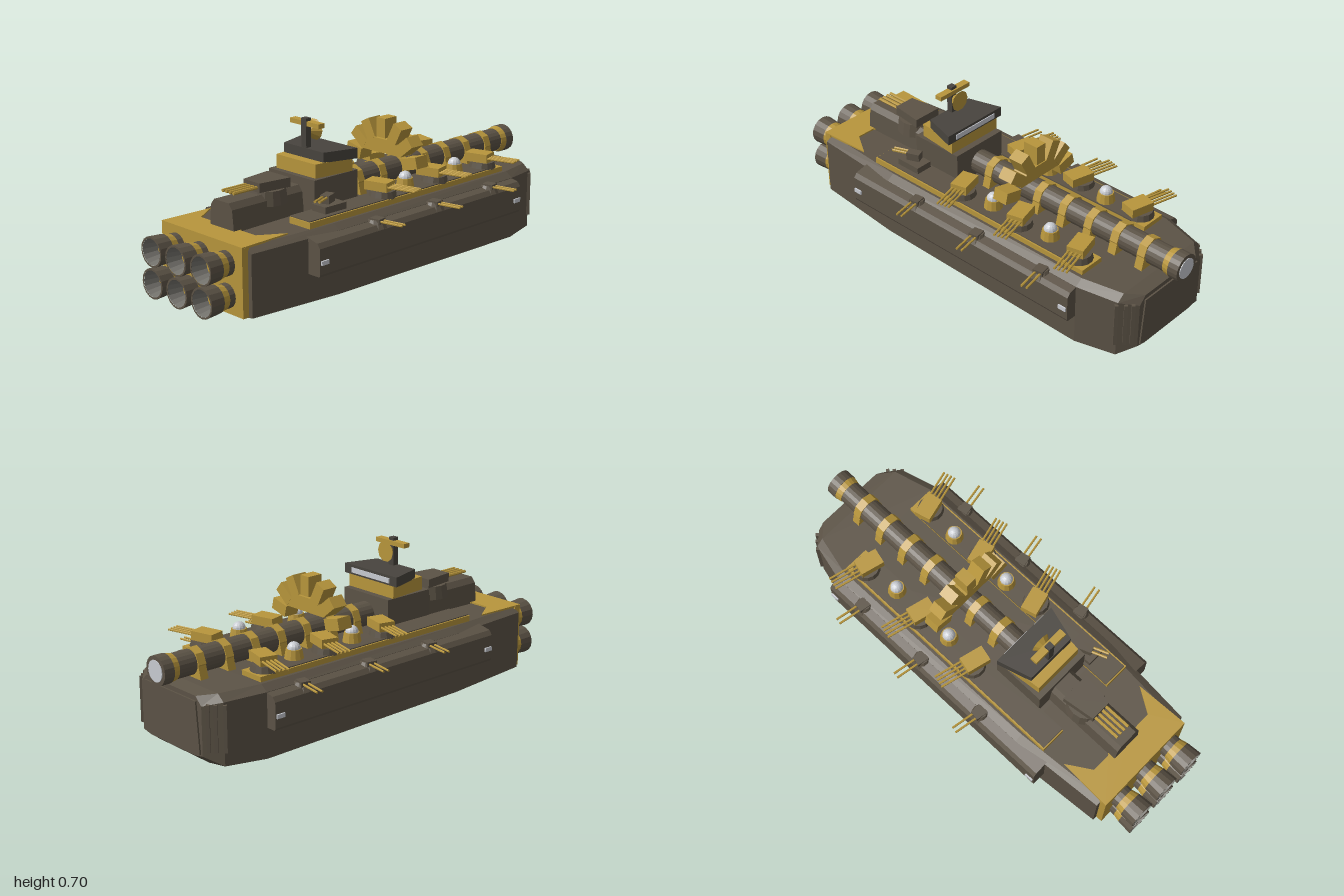
import * as THREE from 'three';

const mat = (name, color) => Object.assign(new THREE.MeshStandardMaterial({ color, flatShading: true }), { name });

export function createModel() {
  const hullM = mat('hullBrown', 0x5c5346), goldM = mat('gold', 0xb8963c), paleM = mat('paleGlass', 0xc9ccd2);
  const darkM = mat('darkSteel', 0x48443e), greyM = mat('nozzleGrey', 0x77756f);
  greyM.side = THREE.DoubleSide;
  const ship = new THREE.Group();
  ship.name = 'battleship';

  const add = (name, geo, m, x = 0, y = 0, z = 0, parent = ship) => {
    const mesh = new THREE.Mesh(geo, m);
    mesh.name = name;
    mesh.position.set(x, y, z);
    parent.add(mesh);
    return mesh;
  };
  const group = (name, x, y, z) => {
    const g = new THREE.Group();
    g.name = name;
    g.position.set(x, y, z);
    ship.add(g);
    return g;
  };
  const box = (w, h, d) => new THREE.BoxGeometry(w, h, d);
  // box given by its limits
  const block = (name, m, x0, x1, y0, y1, z0, z1) =>
    add(name, box(x1 - x0, y1 - y0, z1 - z0), m, (x0 + x1) / 2, (y0 + y1) / 2, (z0 + z1) / 2);
  // cylinder lying along x; r1 is the +x end
  const cylX = (r0, r1, len, n = 16, open = false) =>
    new THREE.CylinderGeometry(r1, r0, len, n, 1, open).rotateZ(-Math.PI / 2);
  const cylZ = (r, len, n = 6) => new THREE.CylinderGeometry(r, r, len, n).rotateX(Math.PI / 2);
  // (z, y) profile extruded along x
  const alongX = (pts, x0, x1) => {
    const shape = new THREE.Shape(pts.map(([z, y]) => new THREE.Vector2(-z, y)));
    return new THREE.ExtrudeGeometry(shape, { depth: x1 - x0, bevelEnabled: false }).rotateY(Math.PI / 2).translate(x0, 0, 0);
  };
  // (x, z) outline extruded upward
  const plan = (pts, y0, y1) => {
    const shape = new THREE.Shape(pts.map(([x, z]) => new THREE.Vector2(x, -z)));
    return new THREE.ExtrudeGeometry(shape, { depth: y1 - y0, bevelEnabled: false }).rotateX(-Math.PI / 2).translate(0, y0, 0);
  };
  // lofts eight-sided sections: [x, half width, keel half width, keel y, chine y, shoulder y, deck y]
  const loft = (sections) => {
    const rings = sections.map(([x, w, k, yk, yc, ys, yd]) => {
      const half = [[k, yk], [w, yc], [w, ys], [w - 0.035, yd]];
      return [...half, ...half.map(([z, y]) => [-z, y]).reverse()].map(([z, y]) => [x, y, z]);
    });
    const p = [], n = 8;
    for (let i = 0; i < rings.length - 1; i++) {
      for (let j = 0; j < n; j++) {
        const a = rings[i][j], b = rings[i][(j + 1) % n], c = rings[i + 1][(j + 1) % n], d = rings[i + 1][j];
        p.push(...a, ...d, ...c, ...a, ...c, ...b);
      }
    }
    const last = rings[rings.length - 1];
    for (let j = 1; j < n - 1; j++) {
      p.push(...rings[0][0], ...rings[0][j], ...rings[0][j + 1]);
      p.push(...last[0], ...last[j + 1], ...last[j]);
    }
    const g = new THREE.BufferGeometry();
    g.setAttribute('position', new THREE.Float32BufferAttribute(p, 3));
    g.computeVertexNormals();
    return g;
  };

  // hull
  add('hull', loft([
    [-0.84, 0.27, 0.19, 0.02, 0.03, 0.295, 0.315],
    [-0.4, 0.305, 0.18, 0.013, 0.026, 0.3, 0.322],
    [0.69, 0.31, 0.16, 0, 0.018, 0.3, 0.325],
    [0.87, 0.265, 0.16, 0.005, 0.022, 0.29, 0.318],
    [0.93, 0.2, 0.15, 0.05, 0.06, 0.27, 0.305],
  ]), hullM);
  add('bowPlate', alongX([[0.19, 0.065], [0.17, 0.285], [-0.17, 0.285], [-0.19, 0.065]], 0.925, 0.937), hullM);

  // gold stern and its deck cladding
  block('sternPlate', goldM, -0.87, -0.835, 0.03, 0.32, -0.25, 0.25);
  const claddingHalf = [[-0.87, 0.25], [-0.62, 0.24], [-0.73, 0.17], [-0.73, 0.08], [-0.69, 0.05]];
  add('sternDeck', plan([...claddingHalf, ...claddingHalf.map(([x, z]) => [x, -z]).reverse()], 0.315, 0.324), goldM);

  // six engines
  for (const z of [-0.155, 0, 0.155]) for (const y of [0.105, 0.24]) {
    const e = group('engine', 0, y, z);
    add('engineNeck', cylX(0.052, 0.052, 0.05), hullM, -0.885, 0, 0, e);
    add('engineCollar', cylX(0.06, 0.052, 0.035), goldM, -0.915, 0, 0, e);
    add('nozzle', cylX(0.065, 0.06, 0.068, 16, true), hullM, -0.966, 0, 0, e);
    add('nozzleLining', cylX(0.057, 0.045, 0.066, 16, true), greyM, -0.966, 0, 0, e);
    add('nozzleRim', new THREE.RingGeometry(0.057, 0.065, 16).rotateY(-Math.PI / 2), hullM, -1, 0, 0, e);
  }

  for (const s of [1, -1]) {
    const turn = (a) => (s > 0 ? a : Math.PI - a);

    // side sponson with lamps
    add('sponson', alongX([[0.28, 0.15], [0.355, 0.15], [0.36, 0.16], [0.36, 0.27], [0.345, 0.29], [0.28, 0.305]]
      .map(([z, y]) => [z * s, y]), -0.56, 0.69), hullM);
    for (const x of [-0.535, 0.665]) add('sponsonLamp', box(0.04, 0.018, 0.008), paleM, x, 0.21, s * 0.363);

    // bow ribs
    for (const [x, z] of [[0.865, 0.268], [0.893, 0.243], [0.915, 0.222]]) {
      const rib = add('bowRib', box(0.014, 0.2, 0.018), hullM, x, 0.18, s * z);
      rib.rotation.y = s * 0.8;
    }

    // gun deck: gold slab with a dark floor
    block('gunDeckRim', goldM, -0.52, 0.68, 0.315, 0.347, s * 0.2 - 0.06, s * 0.2 + 0.06);
    block('gunDeckFloor', hullM, -0.515, 0.61, 0.345, 0.351, s * 0.195 - 0.058, s * 0.195 + 0.058);

    // quad gun turrets
    for (const x of [-0.04, 0.285, 0.61]) {
      add('turretRing', new THREE.CylinderGeometry(0.055, 0.062, 0.03, 14), hullM, x, 0.36, s * 0.2);
      const t = group('quadTurret', x, 0.395, s * 0.2);
      t.rotation.y = turn(0.25);
      add('turretHousing', box(0.075, 0.04, 0.11), goldM, 0, 0, -0.015, t);
      for (let i = 0; i < 4; i++) add('barrel', cylZ(0.005, 0.14), goldM, -0.027 + i * 0.018, 0, 0.1, t);
    }

    // twin sponson guns
    for (const x of [-0.2, 0.155, 0.515]) {
      add('sponsonGunBase', new THREE.CylinderGeometry(0.03, 0.05, 0.035, 12), hullM, x, 0.29, s * 0.315);
      const t = group('twinGun', x, 0.302, s * 0.32);
      t.rotation.y = turn(0.18);
      add('twinGunHousing', box(0.045, 0.022, 0.05), hullM, 0, 0, 0.005, t);
      for (const dx of [-0.012, 0.012]) add('barrel', cylZ(0.005, 0.12), goldM, dx, 0, 0.075, t);
    }

    // domed lamps
    for (const x of [0.12, 0.44]) {
      add('lampBase', new THREE.CylinderGeometry(0.034, 0.042, 0.045, 12), goldM, x, 0.37, s * 0.18);
      add('lampDome', new THREE.SphereGeometry(0.029, 12, 6, 0, Math.PI * 2, 0, Math.PI / 2), paleM, x, 0.392, s * 0.18);
    }

    // light gun beside the tower
    if (s > 0) {
      add('lightGunBase', box(0.12, 0.03, 0.08), hullM, -0.345, 0.365, s * 0.19);
      const gun = group('lightGun', -0.35, 0.4, s * 0.185);
      gun.rotation.y = -1.2;
      add('lightGunHousing', box(0.04, 0.035, 0.06), hullM, 0, 0, 0, gun);
      for (const dx of [-0.01, 0.01]) add('barrel', cylZ(0.006, 0.1), goldM, dx, 0.01, 0.05, gun);
    }
  }

  // main cannon
  add('cannonBarrel', cylX(0.054, 0.054, 1.08, 20), hullM, 0.39, 0.38, 0);
  for (let i = 0; i < 7; i++) {
    const x = -0.025 + i * 0.14;
    add('cannonBand', cylX(0.062, 0.062, 0.038, 8), goldM, x, 0.38, 0);
    add('cannonSaddle', alongX([[0.075, 0.315], [0.058, 0.38], [-0.058, 0.38], [-0.075, 0.315]], x - 0.019, x + 0.019), goldM);
  }
  add('muzzleCollar', cylX(0.056, 0.062, 0.03, 20), goldM, 0.935, 0.38, 0);
  add('muzzle', cylX(0.063, 0.063, 0.048, 20), hullM, 0.974, 0.38, 0);
  add('muzzleLens', cylX(0.046, 0.046, 0.005, 20), paleM, 0.9985, 0.38, 0);

  // fan of blocks arching over the cannon
  const crown = [[0.12, 0.462], [0.105, 0.49], [0.075, 0.525]];
  add('archCrown', alongX([...crown, ...crown.map(([z, y]) => [-z, y]).reverse()], 0.155, 0.225), goldM);
  for (const deg of [-76, -51, -27, 0, 27, 51, 76]) {
    const a = deg * Math.PI / 180;
    const b = add('archBlock', box(0.072, 0.088, 0.052), goldM, 0.19, 0.4 + 0.175 * Math.cos(a), 0.175 * Math.sin(a));
    b.rotation.x = a;
  }

  // command tower
  block('towerBase', hullM, -0.38, -0.13, 0.31, 0.47, -0.14, 0.14);
  add('towerTier', plan([[-0.355, -0.12], [-0.16, -0.14], [-0.16, 0.14], [-0.355, 0.12]], 0.47, 0.53), goldM);
  add('bridge', plan([[-0.31, -0.12], [-0.155, -0.165], [-0.155, 0.165], [-0.31, 0.12]], 0.528, 0.572), darkM);
  block('bridgeWindow', paleM, -0.156, -0.151, 0.537, 0.56, -0.12, 0.12);
  block('mast', darkM, -0.308, -0.28, 0.56, 0.698, -0.015, 0.015);
  add('radarDish', cylX(0.014, 0.047, 0.035, 10), goldM, -0.262, 0.64, 0);
  block('mastCrossbar', goldM, -0.305, -0.272, 0.665, 0.685, -0.088, 0.088);

  // aft gun house and turret
  add('aftHouse', alongX([[0.075, 0.31], [0.065, 0.41], [0.045, 0.435], [-0.045, 0.435], [-0.065, 0.41], [-0.075, 0.31]], -0.76, -0.37), hullM);
  add('aftTurretRing', new THREE.CylinderGeometry(0.08, 0.09, 0.06, 16), hullM, -0.52, 0.415, 0);
  add('aftTurret', plan([[-0.6, -0.05], [-0.45, -0.07], [-0.45, 0.07], [-0.6, 0.05]], 0.445, 0.485), hullM);
  for (const z of [-0.033, -0.011, 0.011, 0.033]) add('aftBarrel', cylX(0.007, 0.007, 0.17, 6), goldM, -0.64, 0.465, z);

  return ship;
}
